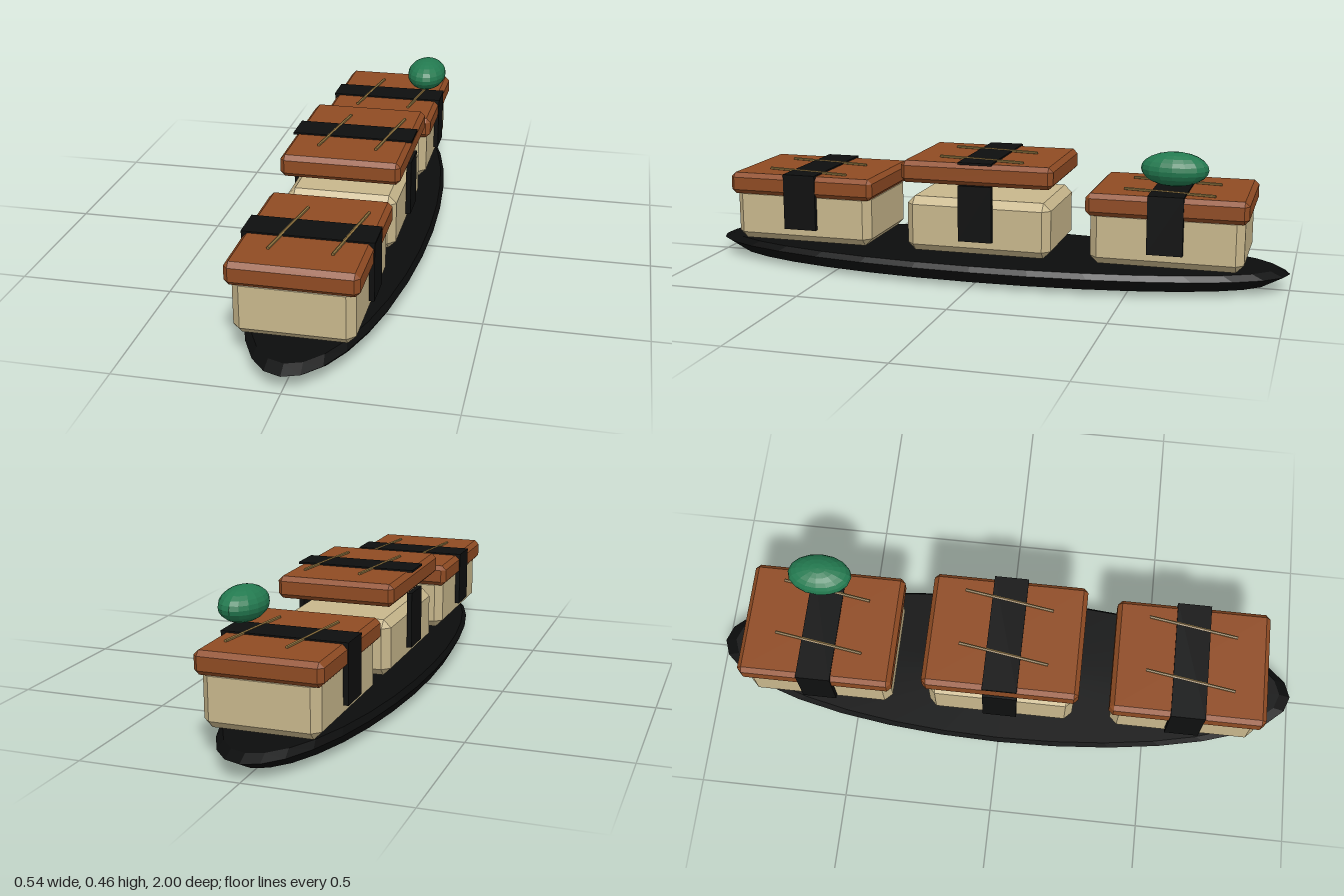
import * as THREE from 'three';
import { ConvexGeometry } from 'three/addons/geometries/ConvexGeometry.js';

const mat = (name, color) => Object.assign(new THREE.MeshStandardMaterial({ color, flatShading: true }), { name });

// Box with every edge cut off by c
function chamferBox(w, h, d, c) {
  const pts = [];
  const [x, y, z] = [w / 2, h / 2, d / 2];
  for (const i of [-1, 1]) for (const j of [-1, 1]) for (const k of [-1, 1]) {
    pts.push(new THREE.Vector3(i * x, j * (y - c), k * (z - c)));
    pts.push(new THREE.Vector3(i * (x - c), j * y, k * (z - c)));
    pts.push(new THREE.Vector3(i * (x - c), j * (y - c), k * z));
  }
  return new ConvexGeometry(pts);
}

export function createModel() {
  const model = new THREE.Group();
  model.name = 'sushiPlatter';
  const plateMat = mat('plateBlack', 0x0b0c0c);
  const riceMat = mat('rice', 0xc8b78c);
  const fishMat = mat('toppingBrown', 0x8f4b23);
  const noriMat = mat('seaweed', 0x0e0f0f);
  const stringMat = mat('sauceTan', 0x90743f);
  const greenMat = mat('wasabiGreen', 0x237a50);

  const add = (parent, name, geo, material, x, y, z) => {
    const m = new THREE.Mesh(geo, material);
    m.name = name;
    m.position.set(x, y, z);
    parent.add(m);
    return m;
  };

  // Long oval plate
  const profile = [[0, 0], [0.6, 0], [0.93, 0.018], [1, 0.055], [0.96, 0.073], [0, 0.073]]
    .map(([r, y]) => new THREE.Vector2(r, y));
  const plate = add(model, 'plate', new THREE.LatheGeometry(profile, 32), plateMat, 0, 0, 0);
  plate.scale.x = 0.27;

  const riceGeo = chamferBox(0.36, 0.185, 0.49, 0.025);
  const fishGeo = chamferBox(0.392, 0.073, 0.515, 0.015);
  const bandGeo = new THREE.BoxGeometry(0.4, 0.007, 0.114);
  const sideGeo = new THREE.BoxGeometry(0.016, 0.186, 0.114);
  const stringGeo = new THREE.CylinderGeometry(0.005, 0.005, 0.3, 6).rotateX(Math.PI / 2);

  // Three pieces; the topping of the middle one is raised
  [[0.62, 0], [0, 0.074], [-0.62, 0]].forEach(([z, lift], i) => {
    const piece = new THREE.Group();
    piece.name = 'sushiPiece' + (i + 1);
    piece.position.z = z;
    model.add(piece);
    add(piece, 'riceBlock', riceGeo, riceMat, 0, 0.1805, 0);
    add(piece, 'topping', fishGeo, fishMat, 0, 0.2855 + lift, 0);
    add(piece, 'seaweedTop', bandGeo, noriMat, 0, 0.3235 + lift, 0);
    for (const s of [-1, 1]) add(piece, 'seaweedSide', sideGeo, noriMat, s * 0.191, 0.231, 0);
    for (const x of [-0.07, 0.119]) {
      add(piece, 'sauceLine', stringGeo, stringMat, x, 0.3255 + lift, 0).rotation.y = -0.15;
    }
  });

  // Green ball at the back
  const ball = add(model, 'wasabi', new THREE.SphereGeometry(1, 16, 12), greenMat, 0.14, 0.406, -0.638);
  ball.scale.set(0.07, 0.054, 0.107);
  return model;
}
